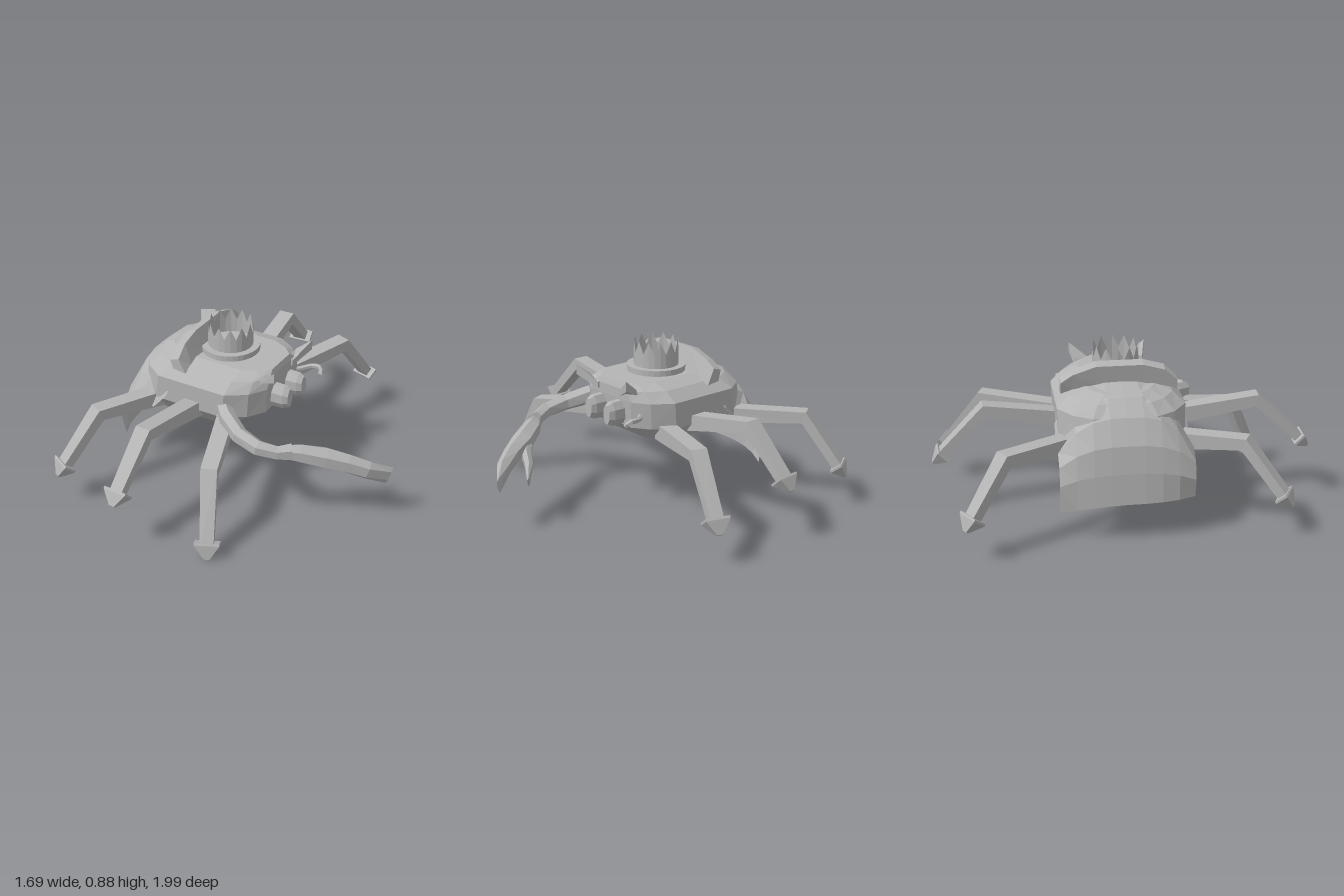
import * as THREE from 'three';

const shell = new THREE.MeshStandardMaterial({ color: 0xb4b4b4, flatShading: true, side: THREE.DoubleSide });
shell.name = 'shell grey';
const V = (x, y, z) => new THREE.Vector3(x, y, z);

// Skin a list of equal-length rings; closed rings get end caps.
function loft(rings, closed = true) {
  const n = rings[0].length, pos = [], idx = [];
  rings.forEach(r => r.forEach(p => pos.push(p.x, p.y, p.z)));
  for (let i = 0; i < rings.length - 1; i++) {
    for (let j = 0; j < (closed ? n : n - 1); j++) {
      const a = i * n + j, b = i * n + (j + 1) % n;
      idx.push(a, b, b + n, a, b + n, a + n);
    }
  }
  if (closed) {
    const e = (rings.length - 1) * n;
    for (let j = 1; j < n - 1; j++) idx.push(0, j + 1, j, e, e + j, e + j + 1);
  }
  const g = new THREE.BufferGeometry();
  g.setAttribute('position', new THREE.Float32BufferAttribute(pos, 3));
  g.setIndex(idx);
  g.computeVertexNormals();
  return g;
}

// Sweep an n-sided section along [x, y, z, width, height] stations.
function sweep(stations, n = 4) {
  const c = stations.map(s => V(s[0], s[1], s[2]));
  const k = 0.5 / Math.cos(Math.PI / n);
  return loft(c.map((p, i) => {
    const t = c[Math.min(i + 1, c.length - 1)].clone().sub(c[Math.max(i - 1, 0)]).normalize();
    const side = t.clone().cross(V(0, 1, 0)).normalize();
    const up = side.clone().cross(t);
    return Array.from({ length: n }, (_, j) => {
      const a = Math.PI / n + j / n * Math.PI * 2;
      return p.clone().addScaledVector(side, Math.cos(a) * k * stations[i][3])
        .addScaledVector(up, -Math.sin(a) * k * stations[i][4]);
    });
  }));
}

export function createModel() {
  const model = new THREE.Group();
  model.name = 'crownedCrab';
  const add = (name, geo, parent = model) => {
    const m = new THREE.Mesh(geo, shell);
    m.name = name;
    parent.add(m);
    return m;
  };
  const zc = -0.035;

  // Body: stacked rounded outlines, [y, back x, front x, half depth]
  const quarter = [[1, 0], [1, 0.5], [0.84, 0.78], [0.55, 1]];
  const outline = [...quarter,
    ...quarter.slice().reverse().map(([u, v]) => [-u, v]),
    ...quarter.slice(1).map(([u, v]) => [-u, -v]),
    ...quarter.slice(1).reverse().map(([u, v]) => [u, -v])].reverse();
  add('body', loft([
    [0.39, -0.57, 0.03, 0.25], [0.48, -0.6, 0.15, 0.32], [0.62, -0.57, 0.16, 0.325],
    [0.675, -0.52, 0.16, 0.265], [0.705, -0.46, 0.15, 0.18],
  ].map(([y, x0, x1, d]) => outline.map(([u, v]) => V((x0 + x1) / 2 + u * (x1 - x0) / 2, y, zc + v * d)))));

  // Cape: each row goes from its middle point to its side edge
  const capeRows = [
    [-0.31, 0.725, -0.35, 0.52], [-0.50, 0.70, -0.43, 0.43], [-0.585, 0.625, -0.55, 0.44],
    [-0.65, 0.5, -0.62, 0.39], [-0.67, 0.36, -0.645, 0.3], [-0.68, 0.2, -0.62, 0.2],
  ];
  add('cape', loft(capeRows.map(([mx, my, ex, ey], r) =>
    Array.from({ length: 9 }, (_, j) => {
      const t = j / 4 - 1, b = Math.abs(t) ** 3;
      const droop = r === 5 && t < 0 ? -0.05 * t * t : 0;
      return V(mx + (ex - mx) * b, my + (ey - my) * b + droop, zc + 0.005 + 0.34 * t);
    })), false));

  // Raised collar arching across the back
  add('collar', loft([[-0.3, 0.67, 0.73], [-0.24, 0.69, 0.77], [-0.12, 0.71, 0.81],
    [0.12, 0.71, 0.81], [0.23, 0.69, 0.78], [0.295, 0.67, 0.72]].map(([z, lo, hi]) => [
    V(-0.33, lo, z + zc), V(-0.255, lo - 0.01, z + zc),
    V(-0.295, hi + 0.015, z + zc), V(-0.345, hi, z + zc)])));

  // Crown with zigzag rim on a flat brim
  const crown = new THREE.Group();
  crown.name = 'crown';
  crown.position.set(-0.155, 0, zc);
  model.add(crown);
  add('crownBrim', new THREE.CylinderGeometry(0.157, 0.157, 0.035, 32).translate(0, 0.718, 0), crown);
  const wall = new THREE.CylinderGeometry(0.12, 0.12, 0.14, 24, 1, true).translate(0, 0.805, 0);
  const wp = wall.attributes.position;
  for (let i = 1; i < 25; i += 2) wp.setY(i, 0.81);
  add('crownPoints', wall, crown);

  // Eyes and slanted brows
  for (const s of [-1, 1]) {
    const z = zc + s * 0.075;
    add('eye', sweep([[0.13, 0.55, z, 0.08, 0.13], [0.22, 0.55, z, 0.075, 0.125],
      [0.248, 0.55, z, 0.05, 0.1]], 8));
    const b = zc + s * 0.09, e = zc + s * 0.205;
    add('brow', loft([
      [V(0.14, 0.64, b), V(0.17, 0.64, b), V(0.17, 0.67, b), V(0.14, 0.69, b)],
      [V(0.13, 0.66, e - s * 0.02), V(0.225, 0.7, e), V(0.225, 0.755, e), V(0.14, 0.69, e - s * 0.02)],
    ]));
  }

  // Small hook in place of the second claw
  const hook = new THREE.CatmullRomCurve3([V(0.1, 0.55, -0.21), V(0.15, 0.55, -0.26),
    V(0.2, 0.56, -0.3), V(0.25, 0.56, -0.3), V(0.26, 0.535, -0.28)]);
  add('hook', new THREE.TubeGeometry(hook, 10, 0.014, 6));

  // Claw arm with two fingers
  add('clawArm', sweep([[-0.04, 0.53, 0.24, 0.07, 0.09], [0.03, 0.51, 0.31, 0.08, 0.09],
    [0.14, 0.475, 0.375, 0.075, 0.08], [0.26, 0.45, 0.395, 0.07, 0.075],
    [0.35, 0.43, 0.36, 0.06, 0.07], [0.41, 0.43, 0.315, 0.07, 0.09]], 6));
  add('largeFinger', sweep([[0.36, 0.435, 0.35, 0.05, 0.06], [0.44, 0.415, 0.285, 0.085, 0.09],
    [0.55, 0.385, 0.215, 0.1, 0.1], [0.65, 0.355, 0.165, 0.08, 0.095],
    [0.74, 0.315, 0.115, 0.065, 0.09], [0.83, 0.262, 0.03, 0.02, 0.085]], 6));
  add('smallFinger', sweep([[0.52, 0.37, 0.22, 0.06, 0.07], [0.575, 0.335, 0.15, 0.05, 0.07],
    [0.61, 0.3, 0.08, 0.04, 0.06], [0.672, 0.25, 0.0, 0.012, 0.05]], 6));

  // Six bent legs: hip, knee and foot tip
  const legs = [
    ['frontRightLeg', [-0.03, 0.46, 0.2], [0.125, 0.405, 0.64], [0.205, 0.0, 0.81]],
    ['middleRightLeg', [-0.2, 0.47, 0.2], [-0.22, 0.555, 0.7], [-0.23, 0.28, 0.985]],
    ['rearRightLeg', [-0.43, 0.45, 0.18], [-0.61, 0.475, 0.56], [-0.73, 0.165, 0.785]],
    ['frontLeftLeg', [-0.01, 0.45, -0.26], [0.17, 0.49, -0.72], [0.245, 0.165, -0.96]],
    ['middleLeftLeg', [-0.16, 0.47, -0.26], [-0.195, 0.555, -0.72], [-0.215, 0.28, -0.99]],
    ['rearLeftLeg', [-0.4, 0.45, -0.22], [-0.68, 0.48, -0.64], [-0.8, 0.165, -0.84]],
  ];
  for (const [name, hip, knee, tip] of legs) {
    const leg = new THREE.Group();
    leg.name = name;
    model.add(leg);
    const at = f => knee.map((k, i) => k + (tip[i] - k) * f);
    add('limb', sweep([[...hip, 0.09, 0.09], [...knee, 0.085, 0.065], [...at(0.85), 0.07, 0.05]]), leg);
    // Barbed foot narrowing to the tip
    add('foot', sweep([[...at(0.8), 0.13, 0.07], [...at(0.83), 0.13, 0.07], [...at(1), 0.03, 0.015]]), leg);
  }
  return model;
}
